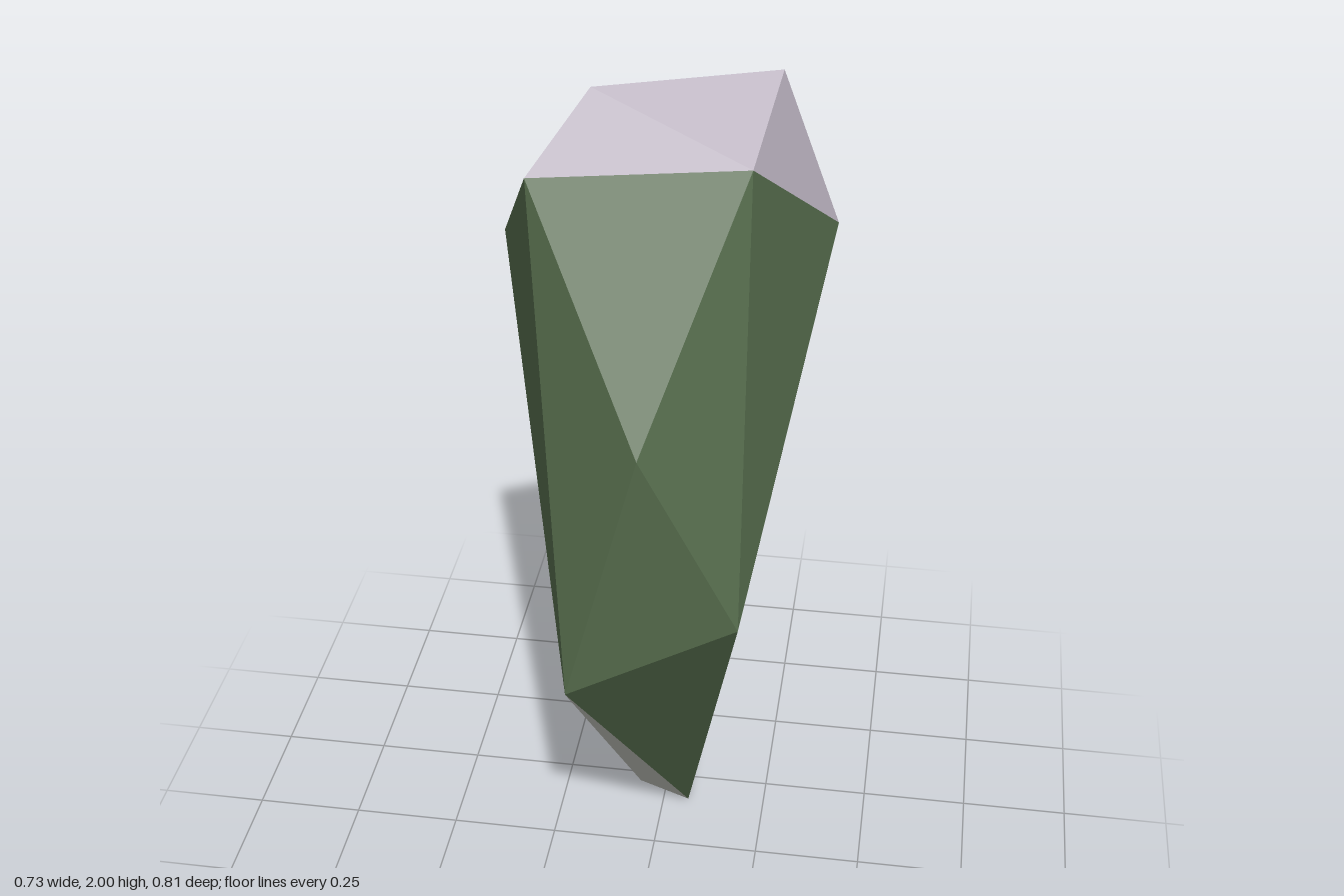
import * as THREE from 'three';

// Corners of the faceted shard
const P = {
  A: [-0.11, 2.0, 0.085], B: [0.245, 1.99, -0.08], // peak ridge
  C: [0.065, 1.61, -0.405], D: [-0.365, 1.52, -0.245], E: [-0.228, 1.84, 0.167],
  F: [0.21, 1.87, 0.132], G: [0.365, 1.655, -0.11], // shoulder ring
  H: [-0.13, 0.77, 0.403], I: [0.025, 1.365, 0.403], J: [0.23, 0.965, 0.387], // front bulge
  K: [0.062, 0, -0.165], L: [-0.065, 0.01, -0.205], // foot
};
const CENTRE = new THREE.Vector3(0, 1.2, 0);

// Flat facets from corner triples, each wound to face away from the centre
function facets(name, triples, material) {
  const points = [];
  for (const triple of triples.split(' ')) {
    const [a, b, c] = [...triple].map((k) => new THREE.Vector3(...P[k]));
    const normal = b.clone().sub(a).cross(c.clone().sub(a));
    const outward = normal.dot(a.clone().sub(CENTRE)) > 0;
    points.push(...(outward ? [a, b, c] : [a, c, b]));
  }
  const geometry = new THREE.BufferGeometry().setFromPoints(points);
  geometry.computeVertexNormals();
  const mesh = new THREE.Mesh(geometry, material);
  mesh.name = name;
  return mesh;
}

function paint(name, color) {
  const material = new THREE.MeshStandardMaterial({ color });
  material.name = name;
  return material;
}

export function createModel() {
  const group = new THREE.Group();
  group.name = 'rockShard';
  group.add(
    // Pale top
    facets('cap', 'ACB ADC ADE AEF AFB BFG BGC', paint('pale lavender', 0xb9b1be)),
    // Mossy sides
    facets('sides', 'EHI EIF FIJ HJI FJG JKG HKJ GKC CLD DHE', paint('moss green', 0x53694a)),
    // Bare stone near the foot
    facets('bareStone', 'DLH HLK CKL', paint('stone grey', 0xbfc1b9)),
  );
  return group;
}
